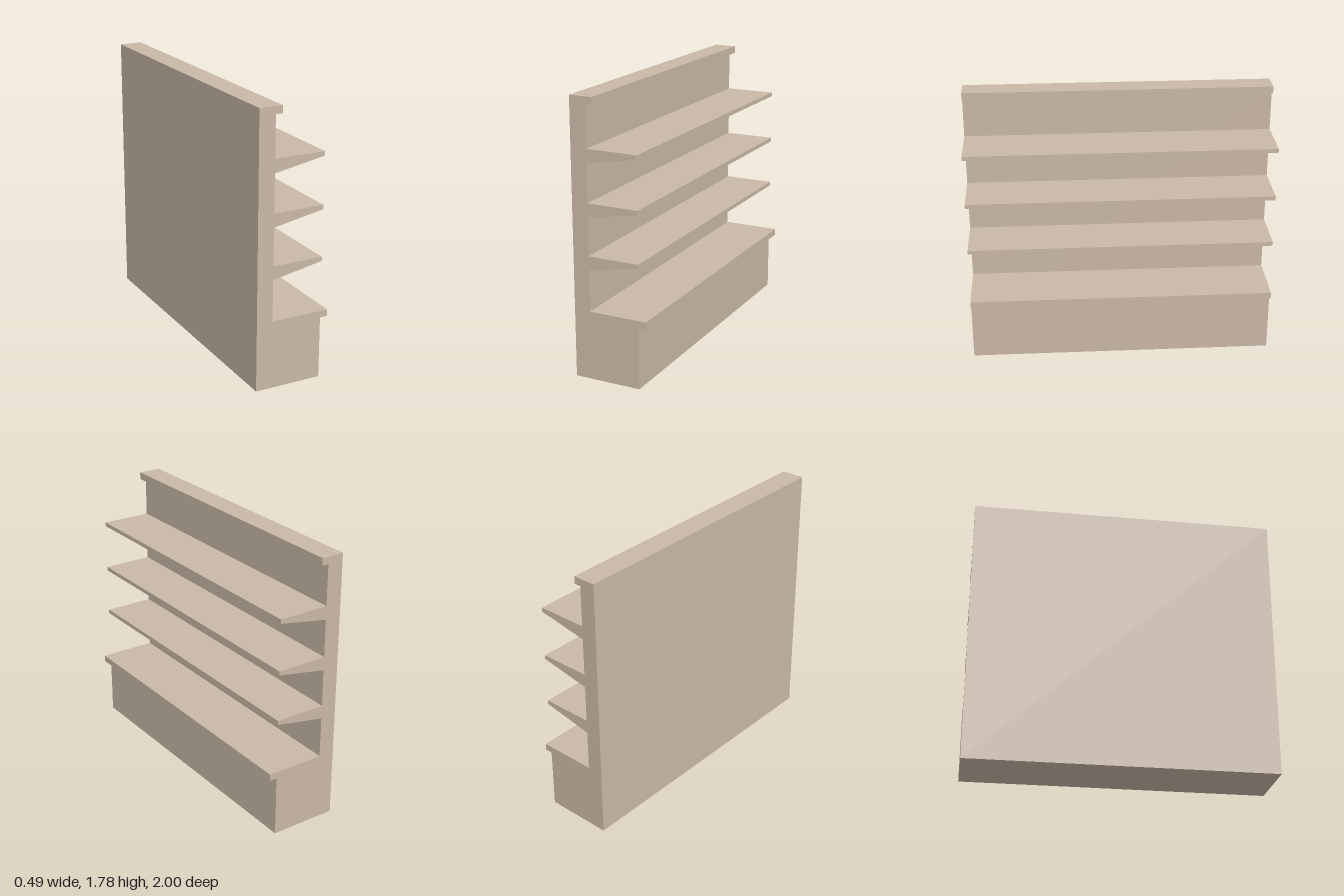
import * as THREE from 'three';

const LENGTH = 2;

export function createModel() {
  const group = new THREE.Group();
  group.name = 'shelvingUnit';
  const beige = new THREE.MeshStandardMaterial({ color: 0xc9b8a6 });
  beige.name = 'beige';

  // Extrudes an x/y profile along the whole length of the unit
  function addPart(name, points) {
    const shape = new THREE.Shape(points.map(([x, y]) => new THREE.Vector2(x, y)));
    const geometry = new THREE.ExtrudeGeometry(shape, { depth: LENGTH, bevelEnabled: false });
    geometry.translate(0, 0, -LENGTH / 2);
    const mesh = new THREE.Mesh(geometry, beige);
    mesh.name = name;
    group.add(mesh);
  }
  const rect = (x0, x1, y0, y1) => [[x0, y0], [x1, y0], [x1, y1], [x0, y1]];

  const back = -0.247, wall = -0.14, front = 0.197;

  // Upright back panel with a small overhanging lip at the top
  addPart('backPanel', rect(back, wall, 0, 1.78));
  addPart('topLip', rect(wall, -0.095, 1.732, 1.78));

  // Solid plinth and the ledge that overhangs it
  addPart('base', rect(wall, front, 0, 0.402));
  addPart('baseLedge', rect(wall, 0.247, 0.402, 0.446));

  // Tapered shelves, flat on top and sloped underneath
  [0.803, 1.135, 1.468].forEach((top, i) => {
    addPart(`shelf${i + 1}`, [
      [wall, top - 0.088], [front, top - 0.027], [front, top], [wall, top],
    ]);
  });

  return group;
}
